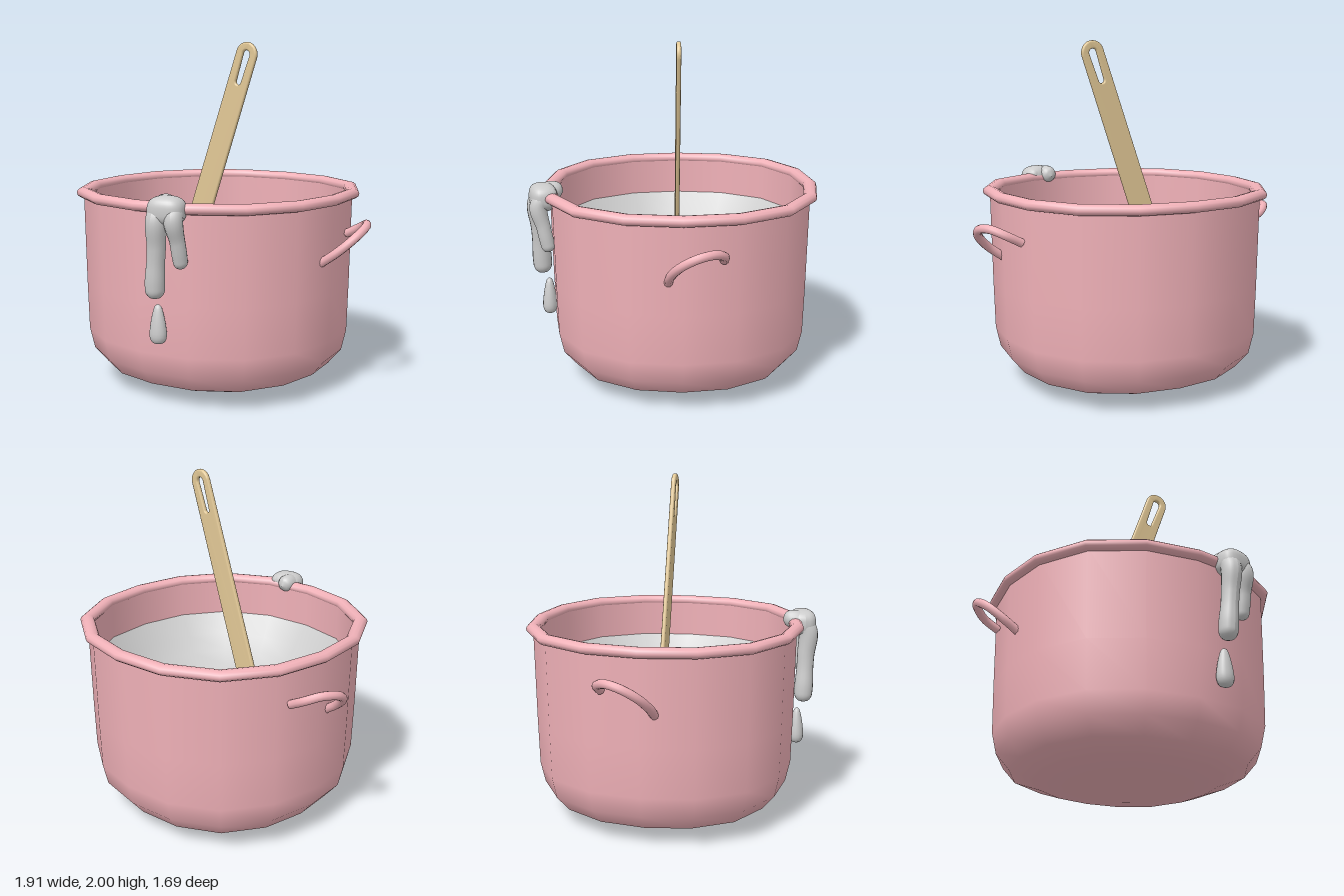
import * as THREE from 'three';
import { mergeVertices } from 'three/addons/utils/BufferGeometryUtils.js';

const mat = (color) => new THREE.MeshStandardMaterial({ color });
const V = (a) => new THREE.Vector3(...a);
const V2 = (a) => new THREE.Vector2(...a);

export function createModel() {
  const group = new THREE.Group();
  const pink = mat(0xf0b1b8), wood = mat(0xe2c896), grey = mat(0xcccccc);
  const potZ = -0.035, sides = 16;

  const add = (name, geometry, material) => {
    const mesh = new THREE.Mesh(geometry, material);
    mesh.name = name;
    group.add(mesh);
    return mesh;
  };

  // Sixteen-sided turned part, slightly fuller on the diagonals
  const lathe = (name, profile, material) => {
    const geo = new THREE.LatheGeometry(profile.map(V2), sides);
    const pos = geo.attributes.position;
    for (let i = 0; i < pos.count; i++) {
      const x = pos.getX(i), z = pos.getZ(i);
      const k = 1 + 0.0215 * (1 - Math.cos(4 * Math.atan2(x, z)));
      pos.setX(i, x * k);
      pos.setZ(i, z * k);
    }
    add(name, geo, material).position.z = potZ;
  };

  // Round-ended tube whose thickness follows a list of radii along the path
  const taperedTube = (points, radii, rings = 56, around = 16) => {
    const curve = new THREE.CatmullRomCurve3(points.map(V));
    const length = curve.getLength();
    const profile = new THREE.SplineCurve(radii.map((r, i) => new THREE.Vector2(i, r)));
    const geo = new THREE.TubeGeometry(curve, rings, 1, around);
    const pos = geo.attributes.position, p = new THREE.Vector3();
    for (let i = 0; i <= rings; i++) {
      const t = i / rings, centre = curve.getPointAt(t);
      let r = profile.getPoint(t).y;
      const toEnd = Math.min(1, Math.min(t, 1 - t) * length / r);
      r *= Math.max(0.01, Math.sqrt(1 - (1 - toEnd) ** 2));
      for (let j = 0; j <= around; j++) {
        const k = i * (around + 1) + j;
        p.fromBufferAttribute(pos, k).sub(centre).multiplyScalar(r).add(centre);
        pos.setXYZ(k, p.x, p.y, p.z);
      }
    }
    geo.computeVertexNormals();
    return geo;
  };

  // Pot body, from the shallow rounded base up the wall
  lathe('potBody', [[0, 0.005], [0.27, 0.022], [0.5, 0.055], [0.65, 0.11], [0.725, 0.2],
    [0.752, 0.32], [0.76, 0.6], [0.77, 1.13]], pink);
  lathe('potInnerWall', [[0.735, 1.14], [0.735, 0.88]], pink);

  // Rolled rim
  const rim = [];
  for (let i = 0; i <= 12; i++) {
    const a = -Math.PI / 2 + (i / 12) * Math.PI * 2;
    rim.push([0.77 + 0.04 * Math.cos(a), 1.135 + 0.031 * Math.sin(a)]);
  }
  lathe('potRim', rim, pink);

  // Dished contents, steep at the edge and flat in the middle
  const dish = [];
  for (let i = 0; i <= 8; i++) {
    const t = 1 - i / 8;
    dish.push([0.735 * t, 0.91 - 0.35 * (1 - t ** 3)]);
  }
  lathe('contents', dish, grey);

  // Side handles, mirrored
  const handlePath = [[0.74, 0.79, 0.045], [0.83, 0.855, 0.035], [0.905, 0.93, -0.015], [0.93, 0.982, -0.1],
    [0.9, 0.994, -0.185], [0.835, 0.965, -0.243], [0.74, 0.915, -0.25]];
  for (const s of [1, -1]) {
    const curve = new THREE.CatmullRomCurve3(handlePath.map(([x, y, z]) => V([x * s, y, z])));
    add(s > 0 ? 'leftHandle' : 'rightHandle', new THREE.TubeGeometry(curve, 28, 0.025, 10), pink);
  }

  // Wooden spatula: rounded top with a hanging slot, origin at the centre of the top arc
  const r = 0.06, end = -1.42;
  const outline = new THREE.Shape();
  outline.moveTo(-0.065, end);
  outline.lineTo(0.065, end);
  outline.lineTo(r, 0);
  outline.absarc(0, 0, r, 0, Math.PI, false);
  outline.closePath();
  const slot = new THREE.Path();
  slot.absarc(0, 0, 0.034, 0, Math.PI, false);
  slot.absarc(0, -0.165, 0.028, Math.PI, Math.PI * 2, false);
  slot.closePath();
  outline.holes.push(slot);
  let blade = new THREE.ExtrudeGeometry(outline, {
    depth: 0.01, bevelThickness: 0.008, bevelSize: 0.01, bevelSegments: 2, curveSegments: 10,
  });
  blade.translate(0, 0, -0.005);
  // Shared vertices give softly rounded faces
  blade.deleteAttribute('normal');
  blade.deleteAttribute('uv');
  blade = mergeVertices(blade, 1e-4);
  blade.computeVertexNormals();
  const spatula = add('spatula', blade, wood);
  spatula.position.set(0.198, 1.93, -0.022);
  spatula.rotation.z = -0.338;

  // Spill over the rim: a rounded slab with a long and a short run
  const slab = new THREE.SphereGeometry(1, 28, 20);
  const sp = slab.attributes.position;
  const square = (v) => Math.sign(v) * Math.abs(v) ** 0.75;
  for (let i = 0; i < sp.count; i++) {
    sp.setXYZ(i, 0.103 * square(sp.getX(i)), 0.078 * square(sp.getY(i)), 0.078 * square(sp.getZ(i)));
  }
  slab.computeVertexNormals();
  const cap = add('spillCap', slab, grey);
  cap.position.set(0.219, 1.129, 0.75);
  cap.rotation.y = 0.28;
  add('longRun', taperedTube(
    [[0.165, 1.145, 0.64], [0.175, 1.152, 0.72], [0.18, 1.09, 0.785], [0.172, 0.93, 0.78], [0.157, 0.76, 0.775], [0.152, 0.65, 0.77]],
    [0.05, 0.056, 0.058, 0.052, 0.05, 0.055, 0.052]), grey);
  add('shortRun', taperedTube(
    [[0.24, 1.14, 0.67], [0.262, 1.145, 0.72], [0.277, 1.09, 0.77], [0.286, 0.96, 0.745], [0.287, 0.82, 0.715]],
    [0.046, 0.052, 0.05, 0.042, 0.041, 0.038]), grey);

  // Falling drop
  const dropProfile = new THREE.SplineCurve([[0, 0.395], [0.034, 0.405], [0.05, 0.44], [0.045, 0.5],
    [0.033, 0.56], [0.019, 0.602], [0, 0.615]].map(V2));
  const drop = add('drop', new THREE.LatheGeometry(
    dropProfile.getPoints(18).map((p) => new THREE.Vector2(Math.max(0, p.x), p.y)), 16), grey);
  drop.position.set(0.145, 0, 0.738);
  drop.scale.z = 0.85;

  return group;
}
